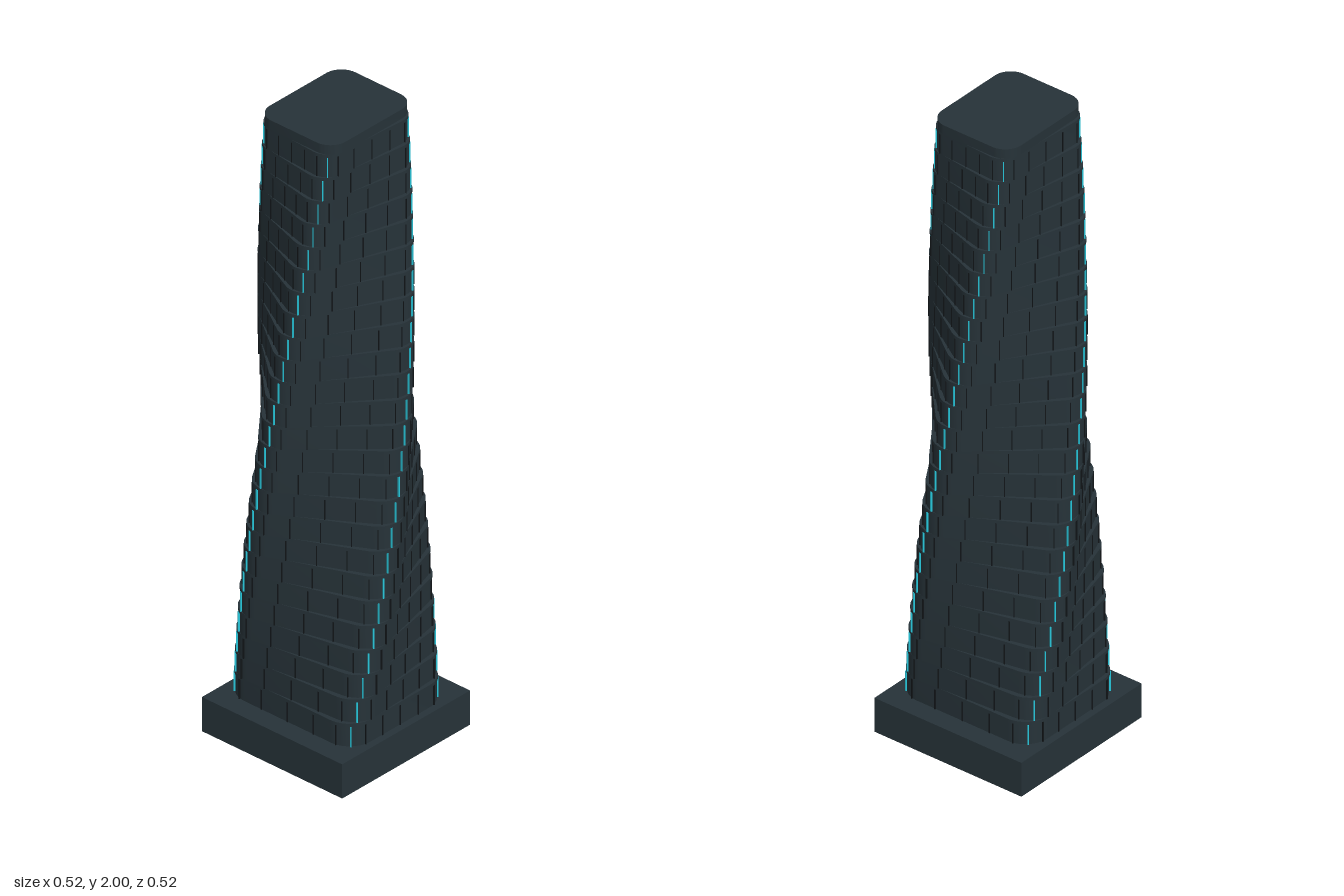
import * as THREE from 'three';
import { toCreasedNormals } from 'three/addons/utils/BufferGeometryUtils.js';

const FLOORS = 25, BASE_TOP = 0.11, ROOF_BOTTOM = 1.97;
const STEP = (ROOF_BOTTOM - BASE_TOP) / FLOORS, SLAB = 0.01;
const HX = 0.24, HZ = 0.2, R = 0.08;

// Rounded rectangular floor plate standing on y = 0
function plate(hx, hz, r, height) {
  const s = new THREE.Shape();
  s.moveTo(hx, -hz + r);
  s.lineTo(hx, hz - r);
  s.absarc(hx - r, hz - r, r, 0, Math.PI / 2);
  s.absarc(-hx + r, hz - r, r, Math.PI / 2, Math.PI);
  s.absarc(-hx + r, -hz + r, r, Math.PI, Math.PI * 1.5);
  s.absarc(hx - r, -hz + r, r, Math.PI * 1.5, Math.PI * 2);
  const g = new THREE.ExtrudeGeometry(s, { depth: height, bevelEnabled: false, curveSegments: 8 });
  g.rotateX(-Math.PI / 2);
  return toCreasedNormals(g, 0.6);
}

export function createModel() {
  const slate = new THREE.MeshStandardMaterial({ color: 0x263238 });
  const dark = new THREE.MeshStandardMaterial({ color: 0x111518 });
  const cyan = new THREE.MeshStandardMaterial({ color: 0x26c6da });
  slate.name = 'slate';
  dark.name = 'darkMullion';
  cyan.name = 'cyanLight';

  const tower = new THREE.Group();
  tower.name = 'twistedTower';
  const add = (parent, name, geometry, material, x = 0, y = 0, z = 0) => {
    const m = new THREE.Mesh(geometry, material);
    m.name = name;
    m.position.set(x, y, z);
    parent.add(m);
    return m;
  };

  // Square plinth
  add(tower, 'plinth', new THREE.BoxGeometry(0.52, BASE_TOP, 0.52), slate, 0, BASE_TOP / 2, 0);

  const wall = plate(HX - 0.003, HZ - 0.003, R - 0.003, STEP - SLAB);
  const slab = plate(HX, HZ, R, SLAB);
  const mullion = new THREE.BoxGeometry(0.003, STEP - SLAB, 0.006);
  const light = new THREE.BoxGeometry(0.004, STEP - SLAB, 0.008);
  const midY = (STEP - SLAB) / 2;

  // Storeys turn a quarter and taper on the way up
  for (let i = 0; i < FLOORS; i++) {
    const t = i / FLOORS, k = 1 - 0.3 * t;
    const floor = new THREE.Group();
    floor.name = 'storey' + (i + 1);
    floor.position.y = BASE_TOP + i * STEP;
    floor.rotation.y = t * Math.PI / 2;
    floor.scale.set(k, 1, k);
    tower.add(floor);
    add(floor, 'wall', wall, slate);
    add(floor, 'floorSlab', slab, slate, 0, STEP - SLAB, 0);

    // Mullions along the four flat sides
    for (const s of [-1, 1]) {
      for (const f of [-1, 0, 1]) {
        add(floor, 'mullion', mullion, dark, f * (HX - R) * 0.6, midY, s * (HZ - 0.003));
        add(floor, 'mullion', mullion, dark, s * (HX - 0.003), midY, f * (HZ - R) * 0.6)
          .rotation.y = Math.PI / 2;
      }
      // Rounded corners: a light strip between two mullions
      for (const q of [-1, 1]) {
        for (const a of [0.15, 0.5, 0.85]) {
          const ang = a * Math.PI / 2, lit = a === 0.5, r = R - 0.002;
          const nx = s * Math.sin(ang), nz = q * Math.cos(ang);
          add(floor, lit ? 'cornerLight' : 'mullion', lit ? light : mullion, lit ? cyan : dark,
            s * (HX - R) + nx * r, midY, q * (HZ - R) + nz * r).rotation.y = Math.atan2(nx, nz);
        }
      }
    }
  }

  // Roof cap
  const roof = add(tower, 'roofCap', plate(HX * 0.71, HZ * 0.7, R * 0.7, 2 - ROOF_BOTTOM), slate, 0, ROOF_BOTTOM, 0);
  roof.rotation.y = Math.PI / 2;
  return tower;
}
